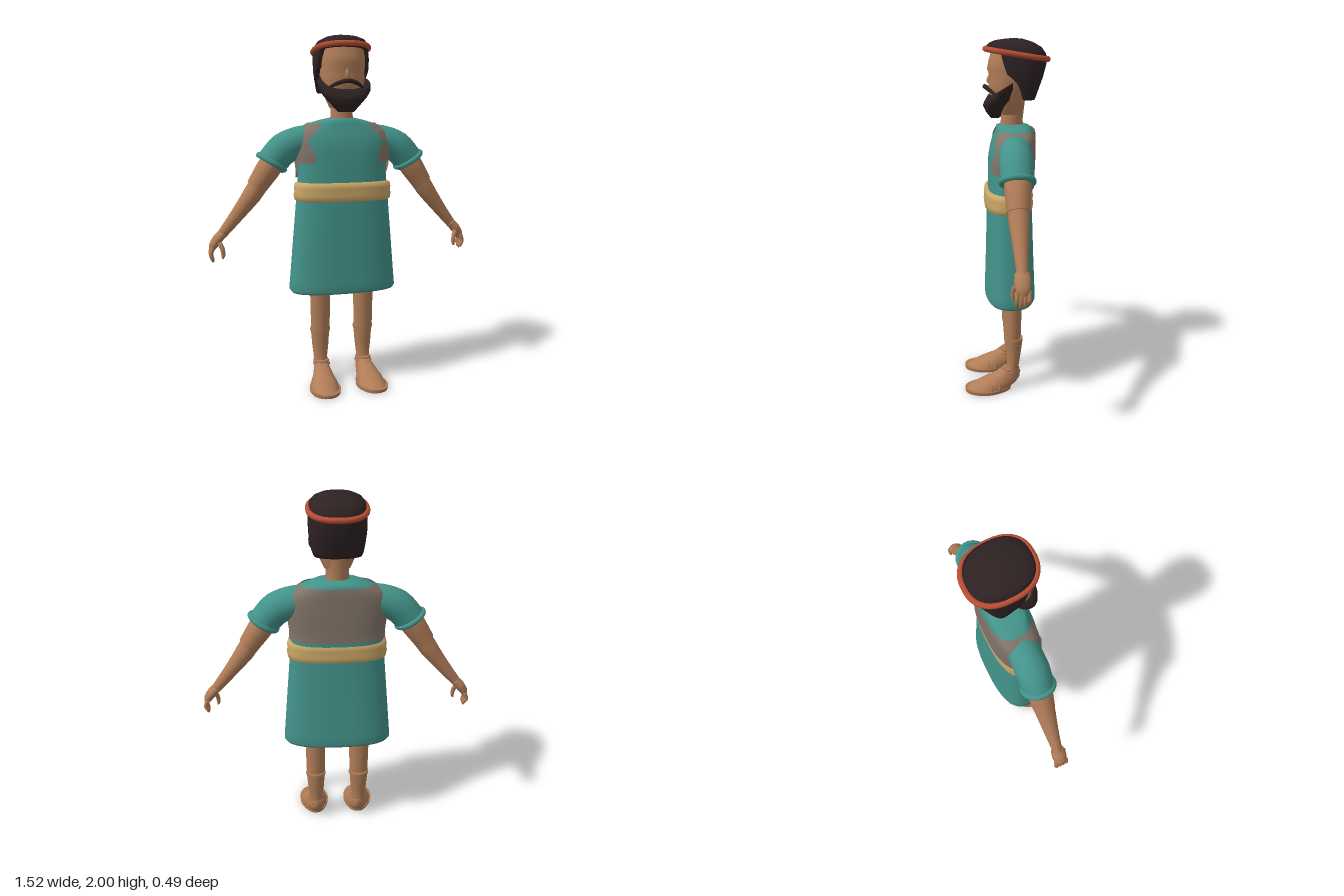
import * as THREE from 'three';

const mat = (name, color, side = THREE.FrontSide) => {
  const m = new THREE.MeshStandardMaterial({ color, side });
  m.name = name;
  return m;
};

// Smooth closed surface through a list of rings, with optional end caps
function skin(rings, capStart = true, capEnd = true) {
  const n = rings[0].length, pos = [], idx = [];
  rings.forEach(r => r.forEach(p => pos.push(p.x, p.y, p.z)));
  for (let i = 0; i < rings.length - 1; i++)
    for (let j = 0; j < n; j++) {
      const k = (j + 1) % n, a = i * n, b = a + n;
      idx.push(a + j, a + k, b + k, a + j, b + k, b + j);
    }
  const cap = (ring, flip) => {
    const base = pos.length / 3, c = new THREE.Vector3();
    ring.forEach(p => { pos.push(p.x, p.y, p.z); c.addScaledVector(p, 1 / n); });
    pos.push(c.x, c.y, c.z);
    for (let j = 0; j < n; j++) {
      const k = (j + 1) % n;
      idx.push(base + n, base + (flip ? k : j), base + (flip ? j : k));
    }
  };
  if (capStart) cap(rings[0], true);
  if (capEnd) cap(rings[rings.length - 1], false);
  const g = new THREE.BufferGeometry();
  g.setAttribute('position', new THREE.Float32BufferAttribute(pos, 3));
  g.setIndex(idx);
  g.computeVertexNormals();
  return g;
}

// Point on a rounded-box ring [y, halfWidth, zCentre, halfDepth, tilt]; angle 0 is the front
const pw = (v, e) => Math.sign(v) * Math.abs(v) ** e;
function ringPoint([y, rx, zc, rz, tilt = 0], a, p, grow = 0) {
  const z = (rz + grow) * pw(Math.cos(a), 2 / p);
  return new THREE.Vector3((rx + grow) * pw(Math.sin(a), 2 / p), y + tilt * z, zc + z);
}
const loft = (rings, p = 2, n = 40, c0 = true, c1 = true) =>
  skin(rings.map(r => Array.from({ length: n }, (_, j) => ringPoint(r, j / n * Math.PI * 2, p))), c0, c1);

// Interpolate a ring list at height y
function ringAt(rings, y) {
  let i = 0;
  while (i < rings.length - 2 && rings[i + 1][0] < y) i++;
  const t = THREE.MathUtils.clamp((y - rings[i][0]) / (rings[i + 1][0] - rings[i][0]), 0, 1);
  return rings[i].map((v, k) => v + (rings[i + 1][k] - v) * t);
}

// Tapered tube through points [x, y, z, radius]; depth scales it along z
function limb(pts, depth = 1, n = 18, sub = 4) {
  const curve = new THREE.CatmullRomCurve3(pts.map(p => new THREE.Vector3(p[0], p[1], p[2])));
  const steps = (pts.length - 1) * sub, rings = [];
  for (let i = 0; i <= steps; i++) {
    const u = i / steps, c = curve.getPoint(u), t = curve.getTangent(u);
    const f = Math.min(Math.floor(i / sub), pts.length - 2);
    const r = THREE.MathUtils.lerp(pts[f][3], pts[f + 1][3], i / sub - f);
    const b = new THREE.Vector3(0, 0, 1).addScaledVector(t, -t.z).normalize();
    const nn = b.clone().cross(t);
    rings.push(Array.from({ length: n }, (_, j) => {
      const a = j / n * Math.PI * 2;
      return c.clone().addScaledVector(nn, r * Math.cos(a)).addScaledVector(b, r * depth * Math.sin(a));
    }));
  }
  return skin(rings);
}

// Open sheet from a rule f(u, v), u in -1..1 and v in 0..1
function sheet(f, nu, nv) {
  const g = new THREE.PlaneGeometry(2, 1, nu, nv), p = g.attributes.position;
  for (let i = 0; i < p.count; i++) {
    const q = f(p.getX(i), p.getY(i) + 0.5);
    p.setXYZ(i, q.x, q.y, q.z);
  }
  g.computeVertexNormals();
  return g;
}

export function createModel() {
  const model = new THREE.Group();
  const skinMat = mat('skin', 0xb17d58), hairMat = mat('hair', 0x2e2223, THREE.DoubleSide);
  const teal = mat('tunicTeal', 0x43938a, THREE.DoubleSide), tan = mat('beltTan', 0xc9a666);
  const vestMat = mat('vestGrey', 0x82756a, THREE.DoubleSide), red = mat('bandRed', 0xb84c32);
  const leather = mat('sandalLeather', 0xab7852);
  const add = (name, geo, m, parent = model) => {
    const mesh = new THREE.Mesh(geo, m);
    mesh.name = name;
    parent.add(mesh);
    return mesh;
  };

  // Tunic, open at the hem
  const torso = [
    [0.575, 0.285, -0.028, 0.12], [0.56, 0.3, -0.028, 0.135], [0.575, 0.311, -0.028, 0.143], [0.62, 0.307, -0.028, 0.141],
    [0.85, 0.287, -0.027, 0.132], [1.1, 0.265, -0.025, 0.125], [1.25, 0.253, -0.03, 0.12], [1.35, 0.265, -0.032, 0.122],
    [1.42, 0.268, -0.038, 0.117], [1.47, 0.25, -0.046, 0.11], [1.515, 0.19, -0.055, 0.1],
    [1.535, 0.12, -0.045, 0.09], [1.546, 0.07, -0.04, 0.065]];
  add('tunic', loft(torso, 2.6, 56, false, true), teal);

  // Belt with a shallow groove
  add('belt', loft([[1.085, 0.262, -0.022, 0.122], [1.092, 0.276, -0.02, 0.133], [1.12, 0.281, -0.02, 0.137],
    [1.14, 0.276, -0.02, 0.132], [1.16, 0.279, -0.02, 0.136], [1.183, 0.274, -0.02, 0.132],
    [1.192, 0.255, -0.022, 0.118]], 2.6, 56), tan);

  // Open vest: full back, two short front panels
  const body = torso.slice(5);
  add('vest', sheet((u, v) => {
    const w = Math.abs(u), low = 1.21 + 0.09 * THREE.MathUtils.smoothstep(w, 0.55, 0.8);
    const y = low + (1.517 - low) * v;
    const reach = THREE.MathUtils.degToRad(141 + 5 * Math.sin(v * 9));
    return ringPoint(ringAt(body, y), Math.PI - u * reach, 2.6, 0.012);
  }, 64, 16), vestMat);

  // Head and neck
  const head = new THREE.Group();
  head.name = 'head';
  model.add(head);
  add('neck', loft([[1.5, 0.07, -0.04, 0.066], [1.57, 0.062, -0.04, 0.06], [1.68, 0.068, -0.045, 0.068]]), skinMat, head);
  add('face', loft([[1.6, 0.07, -0.03, 0.065], [1.66, 0.1, -0.02, 0.085], [1.72, 0.118, -0.015, 0.098],
    [1.78, 0.124, -0.03, 0.118], [1.805, 0.126, -0.04, 0.122], [1.84, 0.128, -0.04, 0.134],
    [1.88, 0.128, -0.045, 0.132], [1.94, 0.12, -0.05, 0.12]], 2.3), skinMat, head);
  add('nose', limb([[0, 1.815, 0.074, 0.008], [0, 1.785, 0.083, 0.013], [0, 1.765, 0.083, 0.012]]), skinMat, head);

  // Beard slanting from the ears to the chin, and moustache
  add('beard', loft([[1.58, 0.045, 0.052, 0.025, 0], [1.612, 0.075, 0.052, 0.05, 0], [1.668, 0.124, 0.03, 0.088, -0.26],
    [1.71, 0.147, 0.02, 0.09, -0.5], [1.742, 0.15, 0.013, 0.08, -0.62]], 2.2), hairMat, head);
  add('moustache', limb([[-0.1, 1.708, 0.05, 0.006], [-0.06, 1.732, 0.085, 0.011], [0, 1.747, 0.107, 0.012],
    [0.06, 1.732, 0.085, 0.011], [0.1, 1.708, 0.05, 0.006]], 1, 12), hairMat, head);

  // Hair: crown above the band, long back below it
  add('hairCrown', loft([[1.905, 0.145, -0.063, 0.163, 0.16], [1.94, 0.146, -0.063, 0.16, 0.13], [1.965, 0.128, -0.058, 0.14, 0.08],
    [1.985, 0.09, -0.05, 0.1, 0.04], [1.996, 0.045, -0.048, 0.05, 0], [2, 0.008, -0.048, 0.008, 0]], 2.4), hairMat, head);
  const backHair = [[1.68, 0.138, -0.05, 0.115], [1.8, 0.152, -0.06, 0.148], [1.87, 0.153, -0.063, 0.163], [1.93, 0.146, -0.063, 0.16]];
  add('hairBack', sheet((u, v) => {
    const w = Math.abs(u), low = 1.68 + 0.14 * THREE.MathUtils.smoothstep(w, 0.5, 1);
    const t = Math.max(0, (v - 0.1) / 0.9), top = 1.89 + 0.045 * w;
    const a = Math.PI - u * THREE.MathUtils.degToRad(112 + 14 * t);
    return ringPoint(ringAt(backHair, low + (top - low) * t), a, 2.4, v < 0.05 || w > 0.99 ? -0.035 : 0);
  }, 48, 10), hairMat, head);

  // Tilted headband
  const bandRing = [1.918, 0.15, -0.065, 0.168, 0.16];
  const bandCurve = new THREE.CatmullRomCurve3(
    Array.from({ length: 32 }, (_, i) => ringPoint(bandRing, i / 32 * Math.PI * 2, 2.4)), true);
  add('headband', new THREE.TubeGeometry(bandCurve, 64, 0.015, 10, true), red, head);

  for (const s of [1, -1]) {
    const side = s > 0 ? 'left' : 'right';
    const part = (name, pts, m, depth, n) => add(side + name, limb(pts.map(([x, ...r]) => [s * x, ...r]), depth, n), m);

    // Sleeve with rolled cuff
    part('Sleeve', [[0.13, 1.425, -0.045, 0.08], [0.23, 1.418, -0.044, 0.086], [0.33, 1.378, -0.042, 0.09],
      [0.405, 1.3, -0.042, 0.085]], teal, 1, 28);
    const cuff = add(side + 'Cuff', new THREE.TorusGeometry(0.081, 0.016, 10, 32), teal);
    cuff.position.set(s * 0.402, 1.303, -0.042);
    cuff.lookAt(s * 0.932, 0.453, -0.042);

    // Arm in two sections
    part('UpperArm', [[0.37, 1.34, -0.042, 0.07], [0.43, 1.255, -0.042, 0.068], [0.49, 1.168, -0.042, 0.058]], skinMat);
    part('Forearm', [[0.465, 1.2, -0.042, 0.056], [0.515, 1.125, -0.042, 0.053], [0.6, 1.015, -0.044, 0.039],
      [0.69, 0.905, -0.045, 0.027]], skinMat);

    // Hand
    part('Palm', [[0.68, 0.917, -0.045, 0.025], [0.71, 0.885, -0.045, 0.028], [0.735, 0.85, -0.045, 0.024],
      [0.745, 0.822, -0.045, 0.014]], skinMat, 1.5);
    for (let f = 0; f < 4; f++) {
      const z = -0.015 - f * 0.02, end = 0.757 + [0.008, 0, 0.004, 0.02][f];
      part('Finger', [[0.738, 0.845, z, 0.012], [0.75, 0.805, z, 0.011], [0.742, end + 0.015, z, 0.01],
        [0.737, end, z, 0.005]], skinMat, 1, 10);
    }
    part('Thumb', [[0.712, 0.88, -0.03, 0.014], [0.69, 0.84, -0.004, 0.013], [0.685, 0.8, 0.0, 0.011],
      [0.689, 0.782, 0.0, 0.005]], skinMat, 1, 10);

    // Leg: straight thigh over a tapering shin
    const leg = new THREE.Group();
    leg.name = side + 'Leg';
    leg.position.x = s * 0.13;
    model.add(leg);
    add('thigh', loft([[0.32, -0 + 0.055, -0.04, 0.046], [0.5, 0.058, -0.04, 0.051], [0.85, 0.07, -0.035, 0.06]]), skinMat, leg);
    add('shin', loft([[0.1, 0.042, -0.035, 0.042], [0.15, 0.04, -0.042, 0.034], [0.22, 0.048, -0.045, 0.041],
      [0.29, 0.053, -0.047, 0.048], [0.315, 0.06, -0.047, 0.051], [0.325, 0.058, -0.047, 0.05]]), skinMat, leg);

    // Sandalled foot, wider at the toes and turned slightly out
    const foot = new THREE.Group();
    foot.name = side + 'Foot';
    foot.rotation.y = s * 0.08;
    leg.add(foot);
    const egg = g => {
      const p = g.attributes.position;
      for (let i = 0; i < p.count; i++)
        p.setX(i, p.getX(i) * (0.8 + 0.2 * THREE.MathUtils.smoothstep(p.getZ(i), -0.02, 0.12)));
      g.computeVertexNormals();
      return g;
    };
    add('sole', egg(loft([[0, 0.087, 0.105, 0.133], [0.018, 0.089, 0.105, 0.135]], 2.2)), leather, foot);
    add('footUpper', egg(loft([[0.015, 0.08, 0.1, 0.128], [0.045, 0.073, 0.058, 0.12], [0.07, 0.064, 0.024, 0.104],
      [0.1, 0.053, -0.012, 0.072], [0.125, 0.047, -0.027, 0.055]], 2.1)), skinMat, foot);
    [[0.108, 0.05, 0.06], [0.126, 0.046, 0.05]].forEach(([y, rx, rz]) => add('ankleStrap', loft(
      [[y - 0.008, rx - 0.006, -0.026, rz - 0.006], [y, rx, -0.026, rz], [y + 0.008, rx - 0.006, -0.026, rz - 0.006]]), leather, foot));
    [[0.045, 0.066, 0.077], [0.09, 0.073, 0.06]].forEach(([z, w, h]) => add('instepStrap', limb(
      Array.from({ length: 7 }, (_, i) => [w * Math.cos(i * Math.PI / 6), 0.015 + h * Math.sin(i * Math.PI / 6), z, 0.007]),
      1.3, 8, 2), leather, foot));
  }
  return model;
}
